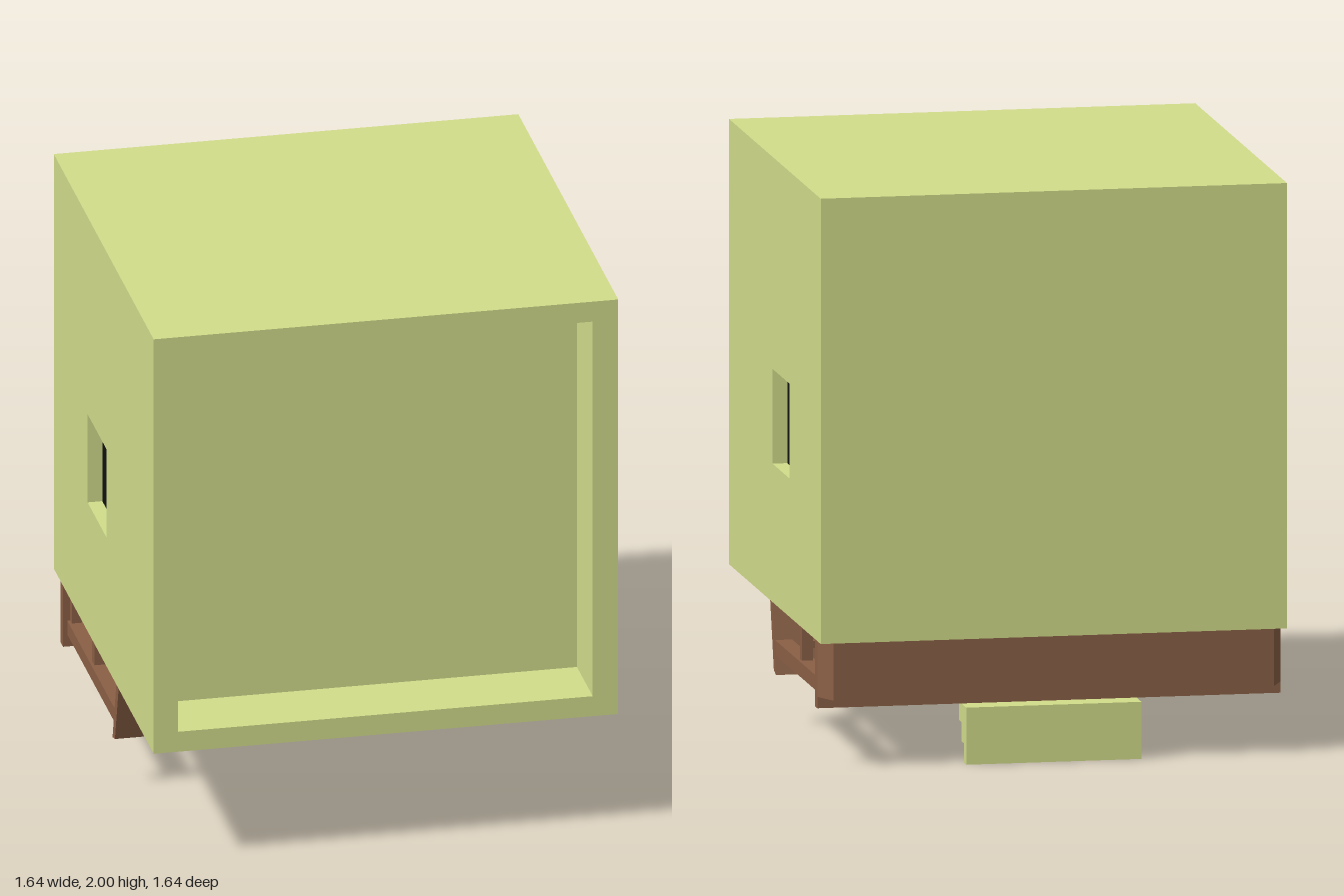
import * as THREE from 'three';

const paint = (color) => new THREE.MeshStandardMaterial({ color, flatShading: true });

export function createModel() {
  const model = new THREE.Group();
  const green = paint(0xd1dd8b), brown = paint(0x8b6046), black = paint(0x111111);

  const add = (name, geometry, material) => {
    const mesh = new THREE.Mesh(geometry, material);
    mesh.name = name;
    model.add(mesh);
    return mesh;
  };
  // Box given by its lower and upper limits on each axis
  const box = (name, x0, x1, y0, y1, z0, z1, material) =>
    add(name, new THREE.BoxGeometry(x1 - x0, y1 - y0, z1 - z0), material)
      .position.set((x0 + x1) / 2, (y0 + y1) / 2, (z0 + z1) / 2);

  const outline = (points) => points.map(([a, b]) => new THREE.Vector2(a, b));
  const rect = ([a0, a1, b0, b1]) => outline([[a0, b0], [a1, b0], [a1, b1], [a0, b1]]);
  const extrude = (points, depth, holes = []) => {
    const shape = new THREE.Shape(points);
    holes.forEach((h) => shape.holes.push(new THREE.Path(rect(h))));
    return new THREE.ExtrudeGeometry(shape, { depth, bevelEnabled: false });
  };
  // Profile in (z, y) swept along x, ending at xMax
  const sweepX = (points, xMax, depth, holes) =>
    extrude(points, depth, holes).rotateY(-Math.PI / 2).translate(xMax, 0, 0);
  // Plan in (x, z) swept downwards from yMax
  const sweepY = (points, yMax, depth, holes) =>
    extrude(points, depth, holes).rotateX(Math.PI / 2).translate(0, yMax, 0);

  const R = 0.82, FLOOR = 0.44, TOP = 2, T = 0.055, BACK = 0.56;

  // Cabin: solid core, framed front recess, panels with openings
  box('cabinCore', -R + T, R - T, FLOOR + T, TOP, -R, BACK, green);
  add('frontFrame', extrude(rect([-R, R, FLOOR, TOP]), R - BACK, [[-0.735, 0.73, 0.515, 1.925]])
    .translate(0, 0, BACK), green);
  box('recessBack', -0.74, 0.74, 0.51, 1.93, BACK - 0.02, BACK + 0.001, green);

  const sideWindow = [-0.265, 0.043, 0.925, 1.257];
  for (const side of [1, -1]) {
    add('sideWall', sweepX(rect([-R, BACK, FLOOR, TOP]), side > 0 ? R : -R + T, T, [sideWindow]), green);
    const x = side * (R - T);
    box('sideWindow', x - 0.003, x + 0.003, 0.925, 1.257, -0.265, 0.043, black);
  }

  // Underside with a wide hatch and two small ones
  const hatches = [[-0.25, 0.25, -0.25, 0.06], [0.4, 0.65, -0.24, -0.03], [-0.65, -0.4, -0.24, -0.03]];
  add('floorPanel', sweepY(rect([-R + T, R - T, -R, BACK]), FLOOR + T, T, hatches), green);
  hatches.forEach(([x0, x1, z0, z1]) =>
    box('floorHatch', x0, x1, FLOOR + T - 0.003, FLOOR + T + 0.003, z0, z1, black));

  // Slanted board at the front of the undercarriage
  add('slantedBoard', sweepX(outline([[0.065, 0.18], [0.105, 0.19], [0.175, FLOOR], [0.137, FLOOR]]),
    0.803, 1.606), brown);

  // Rear bumper with bevelled ends and the beam before it
  add('rearBumper', sweepY(outline([[-0.775, -R], [0.775, -R], [0.815, -0.733], [-0.815, -0.733]]),
    FLOOR, 0.2), brown);
  box('rearBeam', -0.815, 0.815, 0.2, FLOOR, -0.733, -0.69, brown);

  // Long beams with posts up to the floor
  for (const x of [-0.77, -0.3, 0.3, 0.77]) {
    box('longBeam', x - 0.03, x + 0.03, 0.245, 0.297, -0.69, 0.1, brown);
    box('middlePost', x - 0.02, x + 0.02, 0.297, FLOOR, -0.33, -0.293, brown);
    box('rearPost', x - 0.02, x + 0.02, 0.297, FLOOR, -0.69, -0.663, brown);
  }

  // Thin slats between the posts
  for (let i = -6; i <= 6; i++) {
    const x = i * 0.115;
    box('slat', x - 0.02, x + 0.02, 0.345, 0.361, -0.69, -0.33, brown);
  }
  box('slatRail', -0.77, 0.77, 0.34, 0.365, -0.33, -0.3, brown);

  // Stepped block under the rear
  add('steps', sweepX(outline([[-R, 0], [-0.777, 0], [-0.777, 0.068], [-0.733, 0.068],
    [-0.733, 0.135], [-0.69, 0.135], [-0.69, 0.2], [-R, 0.2]]), 0.308, 0.616), green);

  return model;
}
